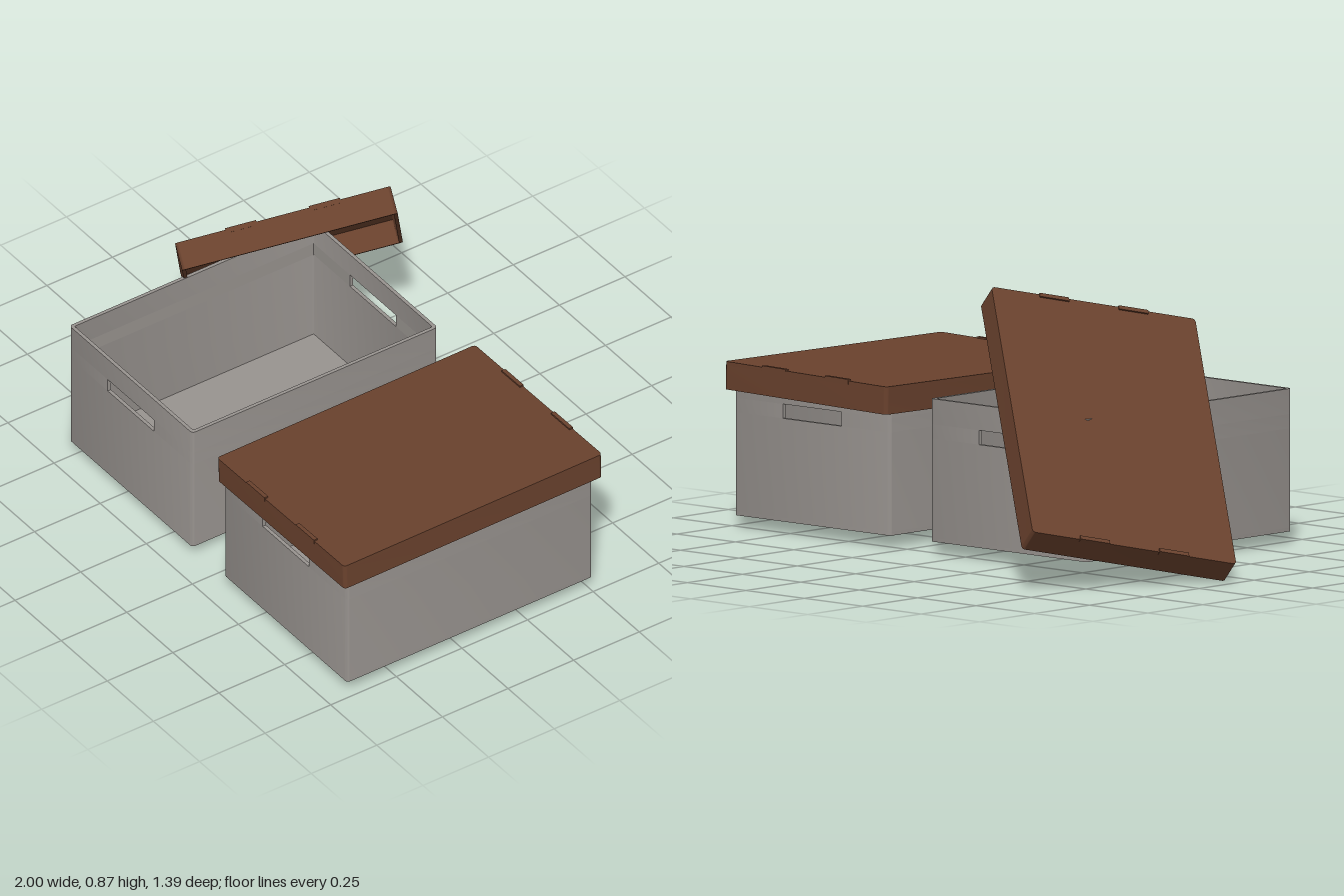
import * as THREE from 'three';
import { toCreasedNormals } from 'three/addons/utils/BufferGeometryUtils.js';

const BOX = { w: 0.667, l: 0.935, h: 0.45, t: 0.012, r: 0.012 };
const LID = { w: 0.695, l: 0.98, h: 0.088, t: 0.012, r: 0.012 };
const SLOT = { half: 0.125, y0: 0.325, y1: 0.37 };

// Rounded rectangle outline, centred on the origin
function roundRect(target, w, l, r) {
  const x = w / 2, y = l / 2;
  target.moveTo(x, -y + r);
  target.lineTo(x, y - r);
  target.absarc(x - r, y - r, r, 0, Math.PI / 2);
  target.lineTo(-x + r, y);
  target.absarc(-x + r, y - r, r, Math.PI / 2, Math.PI);
  target.lineTo(-x, -y + r);
  target.absarc(-x + r, -y + r, r, Math.PI, Math.PI * 1.5);
  target.lineTo(x - r, -y);
  target.absarc(x - r, -y + r, r, Math.PI * 1.5, Math.PI * 2);
  return target;
}

// Closed wall outline, hollow inside
function ringShape({ w, l, t, r }) {
  const shape = roundRect(new THREE.Shape(), w, l, r);
  shape.holes.push(roundRect(new THREE.Path(), w - 2 * t, l - 2 * t, r / 3));
  return shape;
}

// C-shaped half wall that leaves the hand slots open at both ends
function halfWallShape({ w, l, t, r }, gap) {
  const x = w / 2, y = l / 2;
  const s = new THREE.Shape();
  s.moveTo(gap, -y);
  s.lineTo(x - r, -y);
  s.absarc(x - r, -y + r, r, -Math.PI / 2, 0);
  s.lineTo(x, y - r);
  s.absarc(x - r, y - r, r, 0, Math.PI / 2);
  s.lineTo(gap, y);
  s.lineTo(gap, y - t);
  s.lineTo(x - t, y - t);
  s.lineTo(x - t, -y + t);
  s.lineTo(gap, -y + t);
  return s;
}

// Extrude a plan outline upward from y0 to y1
function slab(name, shape, y0, y1, material) {
  const geo = new THREE.ExtrudeGeometry(shape, { depth: y1 - y0, bevelEnabled: false, curveSegments: 4 });
  geo.rotateX(-Math.PI / 2);
  geo.translate(0, y0, 0);
  const mesh = new THREE.Mesh(toCreasedNormals(geo, 0.6), material);
  mesh.name = name;
  return mesh;
}

// Open box with a hand slot in each short end
function makeBox(material) {
  const g = new THREE.Group();
  g.add(slab('boxFloor', roundRect(new THREE.Shape(), BOX.w, BOX.l, BOX.r), 0, BOX.t, material));
  g.add(slab('lowerWall', ringShape(BOX), BOX.t, SLOT.y0, material));
  g.add(slab('upperWall', ringShape(BOX), SLOT.y1, BOX.h, material));
  for (const turn of [0, Math.PI]) {
    const side = slab('slotWall', halfWallShape(BOX, SLOT.half), SLOT.y0, SLOT.y1, material);
    side.rotation.y = turn;
    g.add(side);
  }
  return g;
}

// Shallow lid, with its origin at the centre of the top face
function makeLid(material) {
  const g = new THREE.Group();
  g.add(slab('lidTop', roundRect(new THREE.Shape(), LID.w, LID.l, LID.r), -LID.t, 0, material));
  g.add(slab('lidSkirt', ringShape(LID), -LID.h, -LID.t, material));
  // Folded tabs along the short edges
  for (const end of [-1, 1]) {
    for (const side of [-1, 1]) {
      const tab = new THREE.Mesh(new THREE.BoxGeometry(0.1, 0.016, 0.014), material);
      tab.name = 'lidTab';
      tab.position.set(side * 0.135, -0.003, end * (LID.l / 2 - 0.005));
      g.add(tab);
    }
  }
  return g;
}

export function createModel() {
  const grey = new THREE.MeshStandardMaterial({ color: 0x98938f });
  grey.name = 'greyCard';
  const brown = new THREE.MeshStandardMaterial({ color: 0x69412d });
  brown.name = 'brownCard';

  const model = new THREE.Group();
  model.name = 'storageBoxes';

  const openBox = makeBox(grey);
  openBox.name = 'openBox';
  openBox.position.set(-0.197, 0.04, 0.203);
  const closedBox = makeBox(grey);
  closedBox.name = 'closedBox';
  closedBox.position.set(0.643, 0.04, 0.203);

  // Lid resting slightly askew on the closed box
  const fittedLid = makeLid(brown);
  fittedLid.name = 'fittedLid';
  fittedLid.position.set(0.645, 0.514, 0.2);
  fittedLid.rotation.set(0.01, -0.005, 0.018);

  // Lid leaning against the open box
  const leaningLid = makeLid(brown);
  leaningLid.name = 'leaningLid';
  const along = new THREE.Vector3(0.587, 0.685, 0.433).normalize();
  const up = new THREE.Vector3(-0.691, 0.702, -0.173);
  const across = new THREE.Vector3().crossVectors(up, along).normalize();
  up.crossVectors(along, across);
  leaningLid.quaternion.setFromRotationMatrix(new THREE.Matrix4().makeBasis(across, up, along));
  leaningLid.position.set(-0.569, 0.466, -0.18);

  model.add(openBox, closedBox, fittedLid, leaningLid);
  return model;
}
